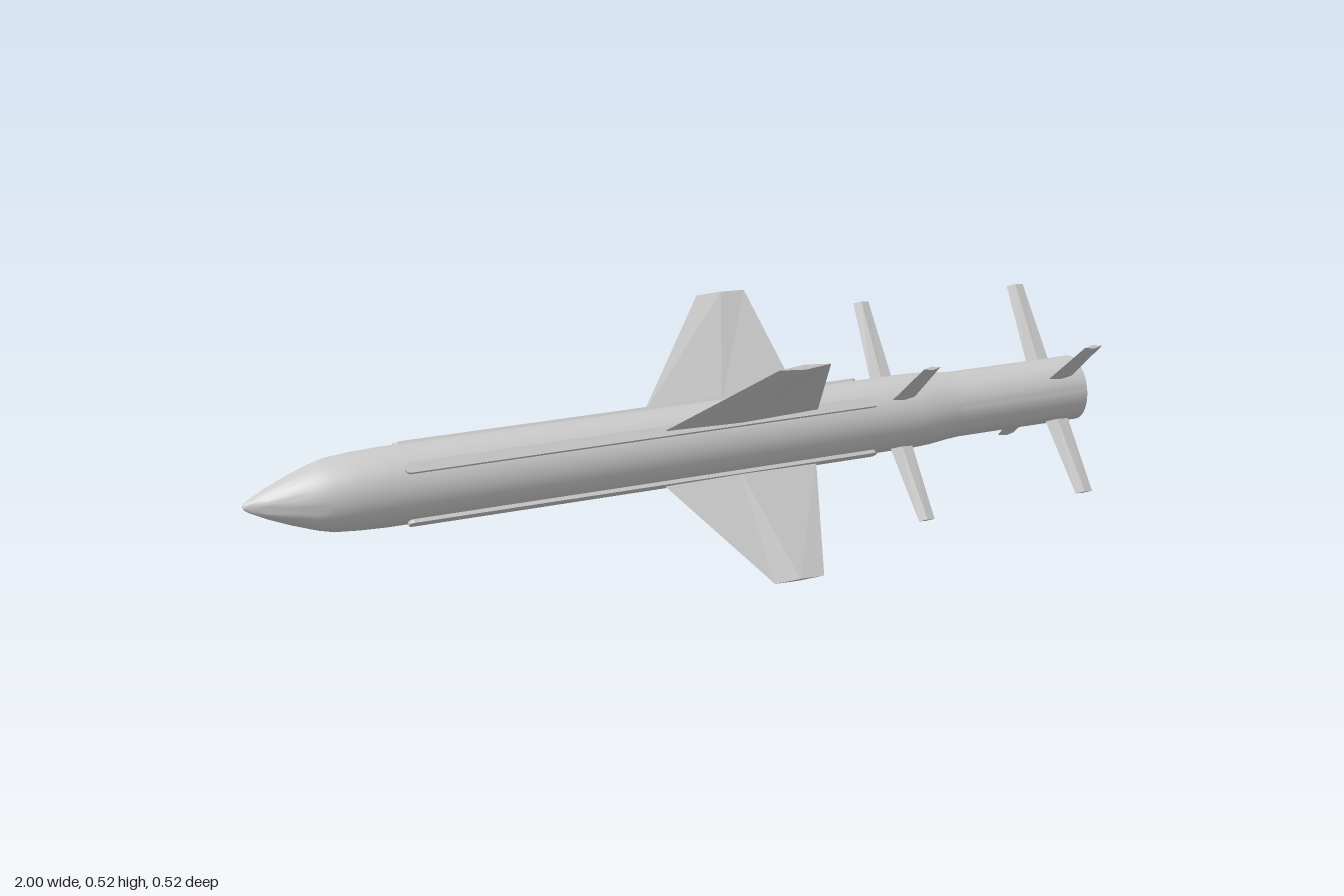
import * as THREE from 'three';
import { toCreasedNormals } from 'three/addons/utils/BufferGeometryUtils.js';

const AXIS_Y = 0.26;
const smooth = new THREE.MeshStandardMaterial({ color: 0xcccccc });
const flat = new THREE.MeshStandardMaterial({ color: 0xcccccc, flatShading: true });

function part(name, geometry, material) {
  const mesh = new THREE.Mesh(geometry, material);
  mesh.name = name;
  return mesh;
}

// Tapered blade with a diamond section: span along y, chord along x.
// root and tip are [leading x, trailing x, radius from axis].
function bladeGeometry(root, tip, thickness) {
  const g = new THREE.CylinderGeometry(1, 1, 1, 4, 1);
  const p = g.attributes.position;
  for (let i = 0; i < p.count; i++) {
    const [x0, x1, r] = p.getY(i) < 0 ? root : tip;
    p.setXYZ(i, (x0 + x1) / 2 + p.getX(i) * (x1 - x0) / 2, r, p.getZ(i) * thickness / 2);
  }
  g.computeVertexNormals();
  return g;
}

// Long low strake with rounded ends, standing on the hull
function strakeGeometry(x0, x1, halfWidth, r0, r1) {
  const s = new THREE.Shape();
  s.absarc(x1 - halfWidth, 0, halfWidth, -Math.PI / 2, Math.PI / 2, false);
  s.absarc(x0 + halfWidth, 0, halfWidth, Math.PI / 2, Math.PI * 1.5, false);
  const g = new THREE.ExtrudeGeometry(s, { depth: r1 - r0, bevelEnabled: false, curveSegments: 8 });
  g.rotateX(-Math.PI / 2);
  g.translate(0, r0, 0);
  return toCreasedNormals(g, 0.6);
}

// Hull profile as [radius, x], nose to tail, then into the hollow exhaust
function bodyGeometry() {
  const profile = [
    [0, -1], [0.007, -0.997], [0.014, -0.987], [0.033, -0.95], [0.054, -0.9],
    [0.072, -0.85], [0.081, -0.815], [0.0855, -0.76], [0.088, -0.7], [0.088, 0.56],
    [0.086, 0.6], [0.08, 0.65], [0.078, 0.68], [0.078, 1], [0.073, 1], [0.073, 0.85], [0, 0.85],
  ].map(([r, x]) => new THREE.Vector2(r, x));
  const g = new THREE.LatheGeometry(profile, 48);
  g.rotateZ(-Math.PI / 2);
  return toCreasedNormals(g, 0.5);
}

export function createModel() {
  const model = new THREE.Group();
  model.name = 'missile';

  const body = part('body', bodyGeometry(), smooth);
  body.position.y = AXIS_Y;
  model.add(body);

  const wing = bladeGeometry([-0.085, 0.3, 0.08], [0.12, 0.24, 0.363], 0.012);
  const strake = strakeGeometry(-0.66, 0.45, 0.012, 0.07, 0.096);

  // Fin reach around the hull: upper front, lower front, lower back, upper back
  const reach = [0.253, 0.274, 0.28, 0.293];

  // Four identical quadrants set in an X
  reach.forEach((tipRadius, k) => {
    const quadrant = new THREE.Group();
    quadrant.name = 'finQuadrant' + (k + 1);
    quadrant.position.y = AXIS_Y;
    quadrant.rotation.x = Math.PI / 4 + k * Math.PI / 2;
    quadrant.add(
      part('strake', strake, smooth),
      part('wing', wing, flat),
      part('midFin', bladeGeometry([0.488, 0.545, 0.075], [0.505, 0.545, tipRadius], 0.009), flat),
      part('tailFin', bladeGeometry([0.904, 0.965, 0.07], [0.92, 0.965, tipRadius - 0.005], 0.009), flat),
    );
    model.add(quadrant);
  });
  return model;
}
